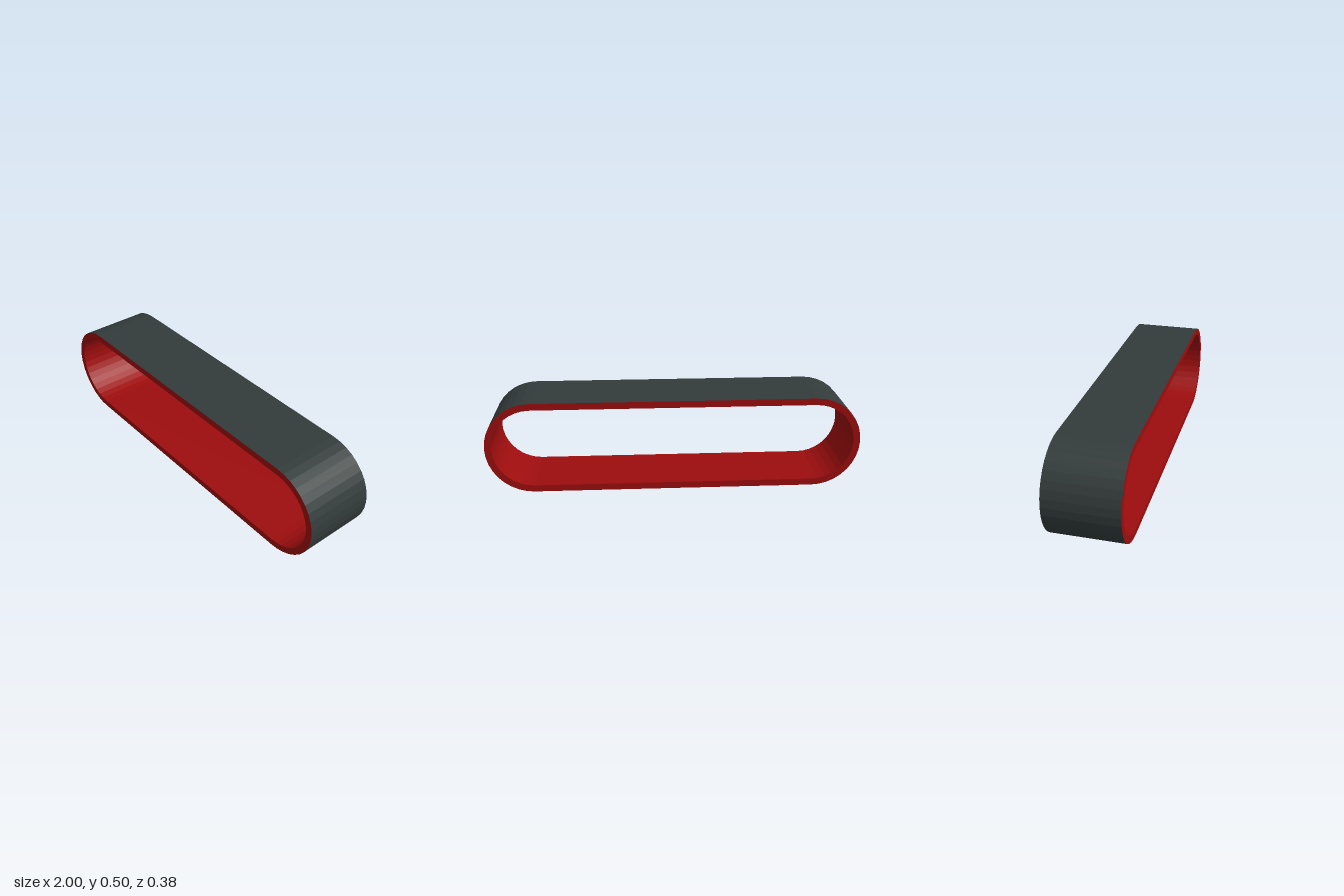
import * as THREE from 'three';

const HALF_DEPTH = 0.1875;
const RADIUS = 0.25;
const WALL = 0.036;
const CENTRE_X = 0.75;
const ARC_STEPS = 18;

// Stadium-shaped loop, counter-clockwise seen from the front
function loop(radius, z) {
  const points = [];
  for (const side of [1, -1]) {
    for (let i = 0; i <= ARC_STEPS; i++) {
      const a = -Math.PI / 2 + (Math.PI * i) / ARC_STEPS;
      points.push([side * (CENTRE_X + radius * Math.cos(a)), RADIUS + side * radius * Math.sin(a), z]);
    }
  }
  return points;
}

// Closed band of flat faces between two matching loops
function band(name, a, b, material) {
  const positions = [];
  for (let i = 0; i < a.length; i++) {
    const j = (i + 1) % a.length;
    positions.push(...a[i], ...a[j], ...b[j], ...a[i], ...b[j], ...b[i]);
  }
  const geometry = new THREE.BufferGeometry();
  geometry.setAttribute('position', new THREE.Float32BufferAttribute(positions, 3));
  geometry.computeVertexNormals();
  const mesh = new THREE.Mesh(geometry, material);
  mesh.name = name;
  return mesh;
}

export function createModel() {
  const charcoal = new THREE.MeshStandardMaterial({ color: 0x333c3b });
  charcoal.name = 'charcoal';
  const red = new THREE.MeshStandardMaterial({ color: 0x9e0d0e });
  red.name = 'red';

  const outerFront = loop(RADIUS, HALF_DEPTH);
  const outerBack = loop(RADIUS, -HALF_DEPTH);
  const innerFront = loop(RADIUS - WALL, HALF_DEPTH);
  const innerBack = loop(RADIUS - WALL, -HALF_DEPTH);

  const group = new THREE.Group();
  group.name = 'roundedLoopShelf';
  group.add(
    band('outerShell', outerBack, outerFront, charcoal),
    band('innerLining', innerFront, innerBack, red),
    band('frontRim', outerFront, innerFront, red),
    band('backRim', innerBack, outerBack, red),
  );
  return group;
}
